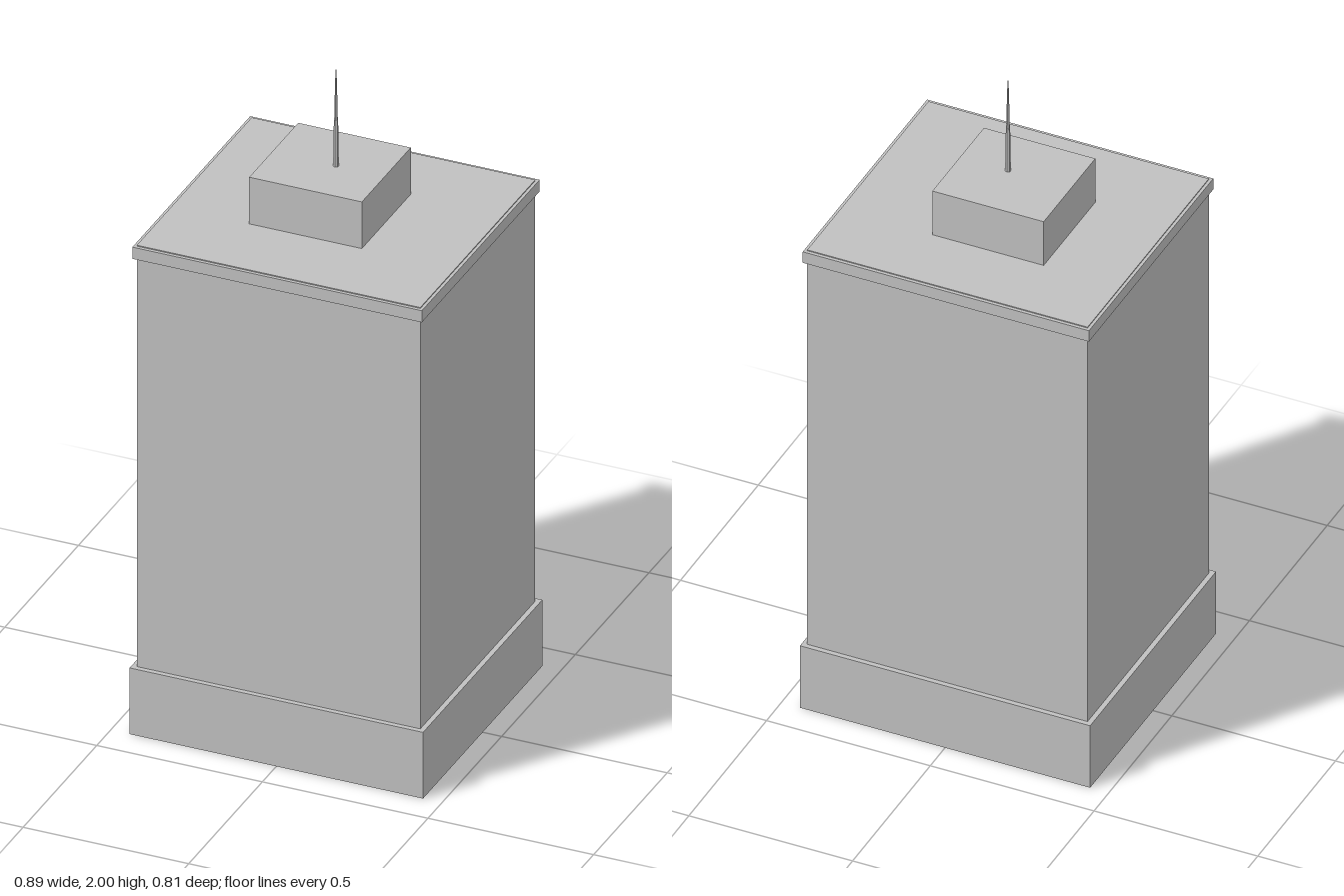
import * as THREE from 'three';

export function createModel() {
  const group = new THREE.Group();
  const concrete = new THREE.MeshStandardMaterial({ color: 0xc0c0c0 });
  concrete.name = 'concreteGrey';

  function add(name, geometry, x, y, z) {
    const mesh = new THREE.Mesh(geometry, concrete);
    mesh.name = name;
    mesh.position.set(x, y, z);
    group.add(mesh);
  }

  // Box given by its extents on each axis
  function block(name, [x0, x1], [y0, y1], [z0, z1]) {
    add(name, new THREE.BoxGeometry(x1 - x0, y1 - y0, z1 - z0),
      (x0 + x1) / 2, (y0 + y1) / 2, (z0 + z1) / 2);
  }

  // Main tower: plinth, shaft (its top just clears the cornice), cornice
  block('base', [-0.443, 0.443], [0, 0.21], [-0.405, 0.405]);
  block('shaft', [-0.428, 0.428], [0.21, 1.547], [-0.39, 0.39]);
  block('cornice', [-0.437, 0.437], [1.507, 1.544], [-0.4, 0.4]);

  // Off-centre rooftop housing
  block('roofHousing', [-0.193, 0.147], [1.547, 1.695], [-0.177, 0.155]);

  // Stepped mast, thinner with height
  const mast = [
    ['mastLower', 1.695, 1.84, 0.008],
    ['mastMiddle', 1.84, 1.92, 0.005],
    ['mastTip', 1.92, 2, 0.0025],
  ];
  for (const [name, y0, y1, r] of mast) {
    const section = new THREE.CylinderGeometry(r * 0.75, r, y1 - y0, 6).toNonIndexed();
    section.computeVertexNormals();
    add(name, section, 0, (y0 + y1) / 2, 0);
  }

  return group;
}
